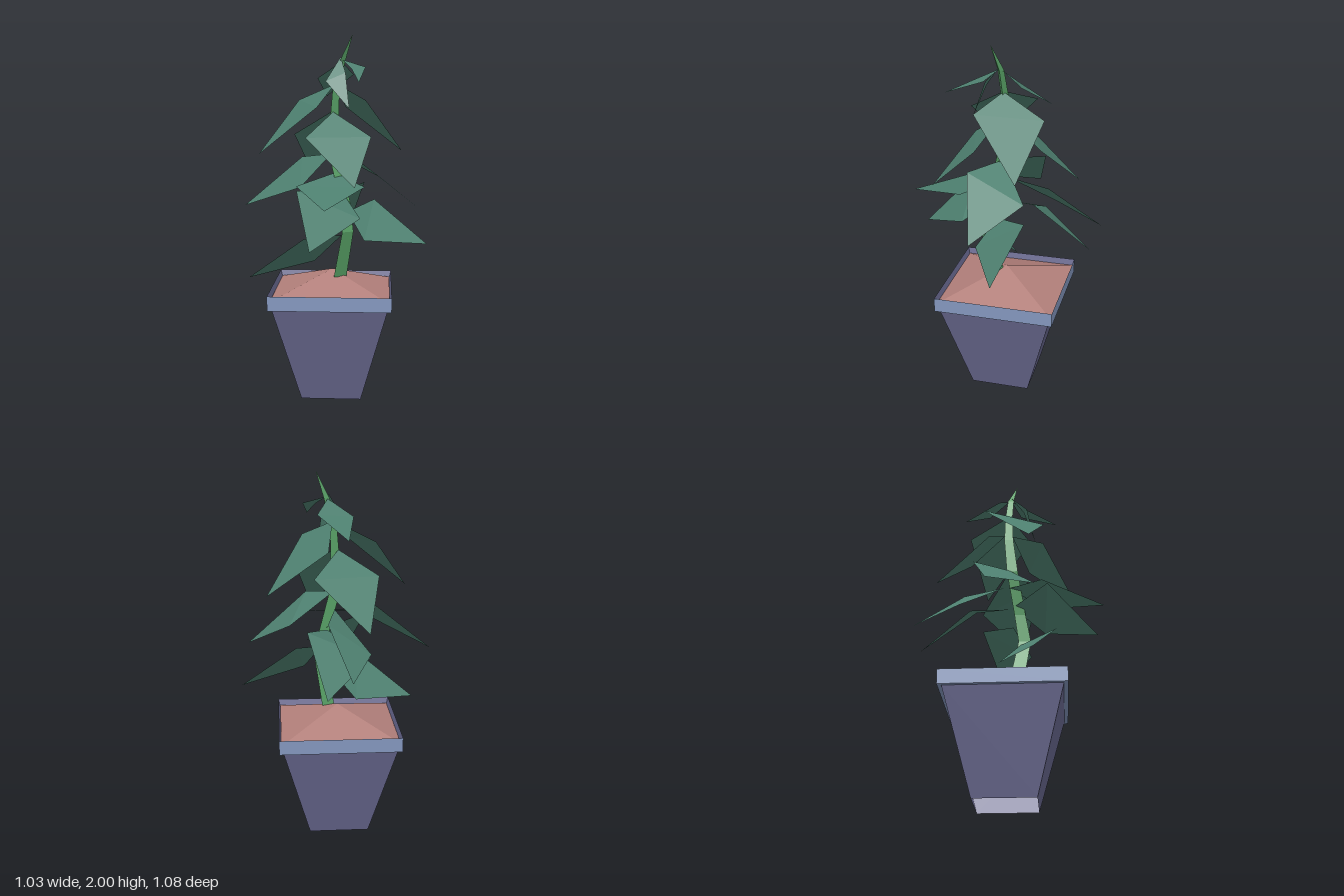
import * as THREE from 'three';

const mat = (name, color, side = THREE.DoubleSide) => {
  const m = new THREE.MeshStandardMaterial({ color, side, flatShading: true });
  m.name = name;
  return m;
};

// Square profile swept around y; points are [half width, height]
function squareLathe(points) {
  const pts = points.map(([h, y]) => new THREE.Vector2(h * Math.SQRT2, y));
  const g = new THREE.LatheGeometry(pts, 4, Math.PI / 4).toNonIndexed();
  g.computeVertexNormals();
  return g;
}

// Kite leaf bent across its widest line: base, two side corners, tip
function leafGeometry(base, a, b, tip) {
  const v = [base, a, b, tip].map(p => new THREE.Vector3(...p));
  const up = new THREE.Vector3().crossVectors(
    v[1].clone().sub(v[0]), v[2].clone().sub(v[0])).y > 0;
  const [l, r] = up ? [v[1], v[2]] : [v[2], v[1]];
  const g = new THREE.BufferGeometry().setFromPoints([v[0], l, r, l, v[3], r]);
  g.computeVertexNormals();
  return g;
}

// Three-sided stem through [x, y, z, radius] stations
function stemGeometry(stations) {
  const ring = ([x, y, z, r]) => [0, 1, 2].map(i => {
    const t = i * Math.PI * 2 / 3 + Math.PI / 2;
    return new THREE.Vector3(x + Math.sin(t) * r, y, z + Math.cos(t) * r);
  });
  const pts = [];
  for (let s = 0; s < stations.length - 1; s++) {
    const lo = ring(stations[s]), hi = ring(stations[s + 1]);
    for (let i = 0; i < 3; i++) {
      const j = (i + 1) % 3;
      pts.push(lo[i], lo[j], hi[j], lo[i], hi[j], hi[i]);
    }
  }
  const g = new THREE.BufferGeometry().setFromPoints(pts);
  g.computeVertexNormals();
  return g;
}

export function createModel() {
  const model = new THREE.Group();
  model.name = 'pottedPlant';
  const potMat = mat('potPurple', 0x68688f);
  const rimMat = mat('rimBlue', 0x8396bd, THREE.FrontSide);
  const soilMat = mat('soil', 0xb3807b);
  const stemMat = mat('stemGreen', 0x57a065);
  const leafMat = mat('leafGreen', 0x4e8070);

  const add = (parent, name, geo, m) => {
    const mesh = new THREE.Mesh(geo, m);
    mesh.name = name;
    parent.add(mesh);
    return mesh;
  };

  // Pot: open tapered walls, rim band, inner lip and mounded soil
  const pot = new THREE.Group();
  pot.name = 'pot';
  pot.position.set(-0.015, 0, -0.015);
  add(pot, 'potWalls', squareLathe([[0.165, 0], [0.31, 0.545]]), potMat);
  add(pot, 'potRim', squareLathe([[0.305, 0.545], [0.332, 0.545], [0.332, 0.625]]), rimMat);
  add(pot, 'innerLip', squareLathe([[0.332, 0.625], [0.318, 0.57]].reverse()), potMat);
  add(pot, 'soilMound', squareLathe([[0.321, 0.59], [0.0001, 0.71]]), soilMat);
  model.add(pot);

  // Crooked stem ending in a pointed shoot
  add(model, 'stem', stemGeometry([
    [0.02, 0.68, 0.04, 0.046], [0.065, 0.94, 0.085, 0.04], [0.05, 1.1, 0.06, 0.036],
    [-0.01, 1.35, 0.02, 0.036], [-0.01, 1.56, 0, 0.03], [0, 1.72, 0, 0.024],
    [0.035, 1.86, 0.01, 0.02], [0.095, 2, 0.045, 0.001],
  ]), stemMat);

  // Leaves grouped in tiers: base, side, side, tip
  const tiers = {
    crown: [
      [[0.035, 1.86, 0], [0.097, 1.79, -0.12], [-0.1, 1.77, -0.05], [-0.06, 1.67, -0.25]],
      [[0.04, 1.87, 0.01], [0.167, 1.83, 0.066], [0.094, 1.82, 0.13], [0.137, 1.75, 0.283]],
      [[0.03, 1.885, 0.01], [-0.045, 1.755, 0.107], [0.06, 1.8, 0.085], [0.083, 1.61, 0.15]],
    ],
    upper: [
      [[0, 1.74, 0], [-0.21, 1.65, -0.137], [-0.085, 1.62, 0.207], [-0.407, 1.365, 0.127]],
      [[0.01, 1.74, 0], [0.045, 1.61, -0.23], [0.17, 1.655, 0.12], [0.37, 1.365, -0.152]],
    ],
    middle: [
      [[-0.01, 1.59, 0.02], [0.2, 1.46, 0.11], [-0.147, 1.46, 0.2], [0.12, 1.215, 0.375]],
      [[-0.02, 1.59, -0.02], [-0.235, 1.46, -0.1], [0.12, 1.47, -0.23], [-0.16, 1.215, -0.395]],
    ],
    lower: [
      [[0, 1.36, 0], [0.15, 1.325, 0.165], [0.25, 1.21, -0.17], [0.478, 1.055, 0.066]],
      [[-0.02, 1.36, 0], [-0.2, 1.325, -0.19], [-0.18, 1.19, 0.15], [-0.52, 1.055, -0.095]],
      [[0, 1.255, 0], [0.168, 1.2, 0.2], [-0.2, 1.2, 0.19], [-0.025, 1.12, 0.535]],
      [[0, 1.26, -0.02], [0.05, 1.235, -0.26], [-0.18, 1.07, -0.26], [-0.06, 1, -0.54]],
    ],
    bottom: [
      [[0.04, 1.15, 0.02], [-0.195, 1.18, 0.22], [0.145, 1.03, 0.2], [-0.105, 0.9, 0.488]],
      [[0.04, 1.14, 0], [0.158, 1.18, -0.2], [-0.18, 1.03, -0.2], [0.067, 0.9, -0.508]],
      [[0.07, 1.04, 0.02], [0.215, 1.085, -0.165], [0.165, 0.895, 0.12], [0.515, 0.847, -0.058]],
      [[0.04, 0.915, 0.06], [-0.15, 0.93, 0.27], [-0.12, 0.745, -0.05], [-0.465, 0.69, 0.147]],
    ],
  };
  for (const [tier, leaves] of Object.entries(tiers)) {
    const group = new THREE.Group();
    group.name = `${tier}Leaves`;
    leaves.forEach((l, i) => add(group, `${tier}Leaf${i + 1}`, leafGeometry(...l), leafMat));
    model.add(group);
  }
  return model;
}
